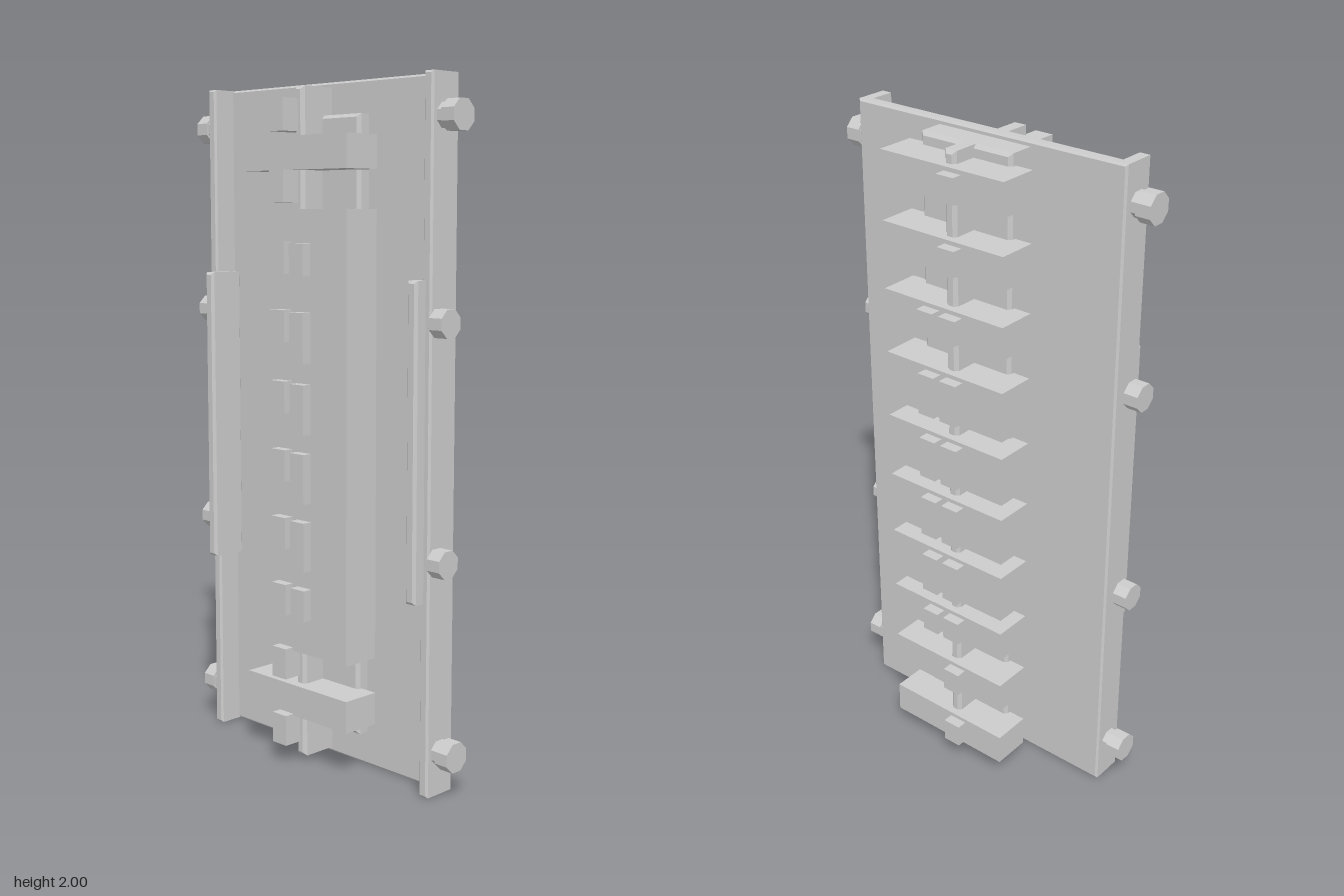
import * as THREE from 'three';

const material = new THREE.MeshStandardMaterial({ color: 0xcccccc, flatShading: true });

export function createModel() {
  const model = new THREE.Group();
  model.name = 'ribbedPanel';

  const add = (name, geometry) => {
    const mesh = new THREE.Mesh(geometry, material);
    mesh.name = name;
    model.add(mesh);
    return mesh;
  };

  // Box given by its limits on each axis
  const box = (name, x0, x1, y0, y1, z0, z1) => {
    const mesh = add(name, new THREE.BoxGeometry(x1 - x0, y1 - y0, z1 - z0));
    mesh.position.set((x0 + x1) / 2, (y0 + y1) / 2, (z0 + z1) / 2);
    return mesh;
  };

  // Box with small chamfers on every edge
  const chamferBox = (name, x0, x1, y0, y1, z0, z1, c = 0.01) => {
    const w = (x1 - x0) / 2 - c, h = (y1 - y0) / 2 - c;
    const shape = new THREE.Shape([
      new THREE.Vector2(-w, -h), new THREE.Vector2(w, -h),
      new THREE.Vector2(w, h), new THREE.Vector2(-w, h)]);
    const geometry = new THREE.ExtrudeGeometry(shape, {
      depth: z1 - z0 - 2 * c, bevelEnabled: true, bevelSegments: 1, bevelSize: c, bevelThickness: c });
    const mesh = add(name, geometry);
    mesh.position.set((x0 + x1) / 2, (y0 + y1) / 2, z0 + c);
    return mesh;
  };

  // Panel with folded side flanges
  chamferBox('panel', -0.455, 0.455, 0, 2, 0, 0.035, 0.006);
  for (const s of [-1, 1]) {
    const side = (name, a, b, ...rest) =>
      chamferBox(name, Math.min(s * a, s * b), Math.max(s * a, s * b), ...rest);
    side('flange', 0.425, 0.457, 0, 2, 0, 0.108, 0.006);
    side('gripStrip', 0.402, 0.438, 0.56, 1.45, 0.03, 0.146, 0.008);

    // Eight-sided bolts along each flange
    const bolt = (y, z, end, r) => {
      for (const [name, x0, x1, radius] of [
        ['boltNeck', 0.45, end - 0.03, r * 0.82], ['boltHead', end - 0.045, end, r]]) {
        const geometry = new THREE.CylinderGeometry(radius, radius, x1 - x0, 8);
        geometry.rotateY(Math.PI / 8).rotateZ(Math.PI / 2);
        add(name, geometry).position.set(s * (x0 + x1) / 2, y, z);
      }
    };
    for (const y of [0.125, 1.885]) bolt(y, 0.057, 0.522, 0.045);
    for (const y of [0.675, 1.335]) bolt(y, 0.077, 0.502, 0.042);
  }

  // Backing plates and central spine
  chamferBox('frontPlate', -0.155, 0.155, 0.1, 1.905, 0.02, 0.075);
  chamferBox('backPlate', -0.155, 0.155, 0.02, 1.985, -0.08, 0.01);
  chamferBox('spine', -0.03, 0.008, 0.015, 1.985, -0.157, 0.152, 0.01);

  // Front blocks: two lone end blocks and a tight central stack
  box('frontEndBlock', -0.21, 0.21, 1.75, 1.845, 0.06, 0.18);
  box('frontEndBlock', -0.21, 0.21, 0.145, 0.24, 0.06, 0.18);
  const courses = 13, pitch = (1.64 - 0.345) / courses;
  for (let i = 0; i < courses; i++) {
    box('frontBlock', -0.21, 0.21, 0.345 + i * pitch, 0.345 + (i + 1) * pitch, 0.06, 0.18);
  }

  // Ten rows of clips, with a back block in each row
  const rowTops = [1.95, 1.75, 1.55, 1.355, 1.15, 0.95, 0.75, 0.55, 0.355, 0.15];
  rowTops.forEach((top, i) => {
    const tall = i >= 3 && i <= 6;
    const height = tall ? 0.15 : 0.097;
    box('backBlock', -0.21, 0.21, top - height, top, -0.18, -0.06);
    box('frontClipRight', -0.07, -0.012, top - 0.092, top, 0.06, 0.21);
    box('backClipRight', -0.07, -0.012, top - height + 0.012, top - 0.012, -0.212, -0.06);
    if (i >= 2 && i <= 7) {
      box('frontClipLeft', 0.01, 0.066, top - height, top - 0.005, 0.06, 0.21);
      box('backClipLeft', 0.01, 0.066, top - height + 0.012, top - 0.012, -0.212, -0.06);
    }
  });

  return model;
}
